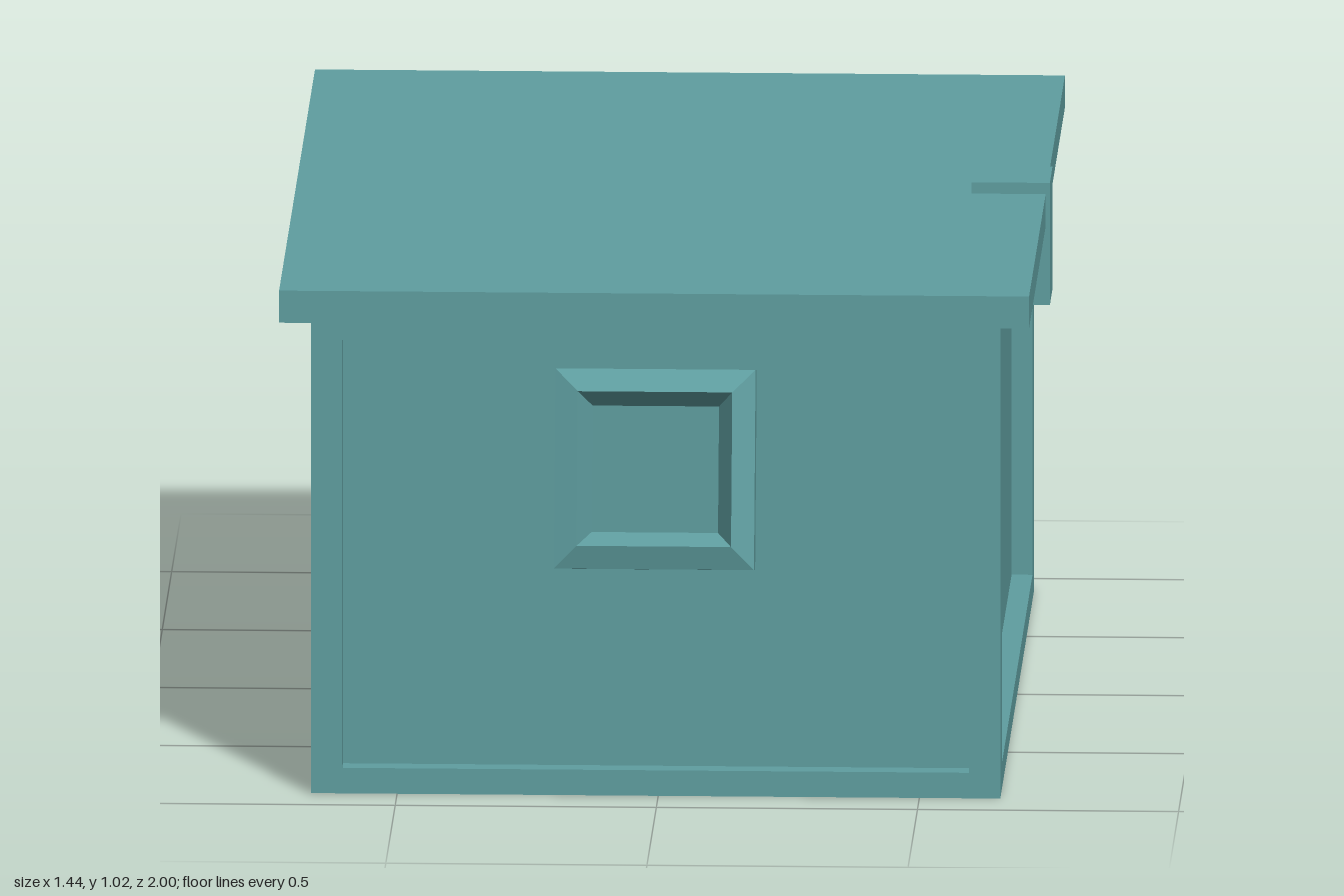
import * as THREE from 'three';

const material = new THREE.MeshStandardMaterial({ color: 0x5f9ea0, flatShading: true });

function add(parent, name, geometry, x = 0, y = 0, z = 0) {
  const mesh = new THREE.Mesh(geometry, material);
  mesh.name = name;
  mesh.position.set(x, y, z);
  parent.add(mesh);
  return mesh;
}

// Rectangular border standing on y = 0, with a rectangular opening
function frameGeometry(width, height, holeWidth, holeBottom, holeTop, depth) {
  const w = width / 2, h = holeWidth / 2;
  const shape = new THREE.Shape([[-w, 0], [w, 0], [w, height], [-w, height]].map(p => new THREE.Vector2(...p)));
  shape.holes.push(new THREE.Path([[-h, holeBottom], [-h, holeTop], [h, holeTop], [h, holeBottom]].map(p => new THREE.Vector2(...p))));
  return new THREE.ExtrudeGeometry(shape, { depth, bevelEnabled: false });
}

// Square ring with a five-sided bar, flat on the outside
function handleGeometry() {
  const R = 0.16, r = 0.039, stretch = 1.45, points = [];
  for (let i = 0; i <= 5; i++) {
    const a = Math.PI + (i / 5) * Math.PI * 2;
    points.push(new THREE.Vector2((R + r * Math.cos(a)) * Math.SQRT2, r * stretch * Math.sin(a)));
  }
  return new THREE.LatheGeometry(points, 4, Math.PI / 4).rotateX(Math.PI / 2).rotateX(-0.227);
}

export function createModel() {
  const model = new THREE.Group();
  model.name = 'chest';

  const cx = -0.005, W = 1.32, H = 0.935, D = 1.8, recess = 0.04;

  // Body: inner core carrying the recessed panels, with a raised frame on each side
  const body = new THREE.Group();
  body.name = 'body';
  model.add(body);
  add(body, 'panels', new THREE.BoxGeometry(W - 2 * recess, H, D - 2 * recess), cx, H / 2, 0);
  const endFrame = frameGeometry(W, H, 1.2, 0.05, 0.89, recess);
  const sideFrame = frameGeometry(D - 2 * recess, H, 1.625, 0.05, 0.89, recess);
  const handle = handleGeometry();

  for (const s of [1, -1]) {
    const turn = s > 0 ? 0 : Math.PI;
    add(body, s > 0 ? 'frontFrame' : 'backFrame', endFrame, cx, 0, s * (D / 2 - recess)).rotation.y = turn;
    add(body, s > 0 ? 'leftFrame' : 'rightFrame', sideFrame, cx + s * (W / 2 - recess), 0, 0).rotation.y = s * Math.PI / 2;
    // Tilted carrying handle on each end
    add(model, s > 0 ? 'frontHandle' : 'backHandle', handle, cx, 0.644, s * 0.914).rotation.y = turn;
  }

  // Overhanging lid and the latch over its edge
  add(model, 'lid', new THREE.BoxGeometry(1.436, 0.063, 1.91), -0.006, 0.9665, 0);
  add(model, 'latch', new THREE.BoxGeometry(0.15, 0.24, 0.14), 0.645, 0.9, 0);

  return model;
}
